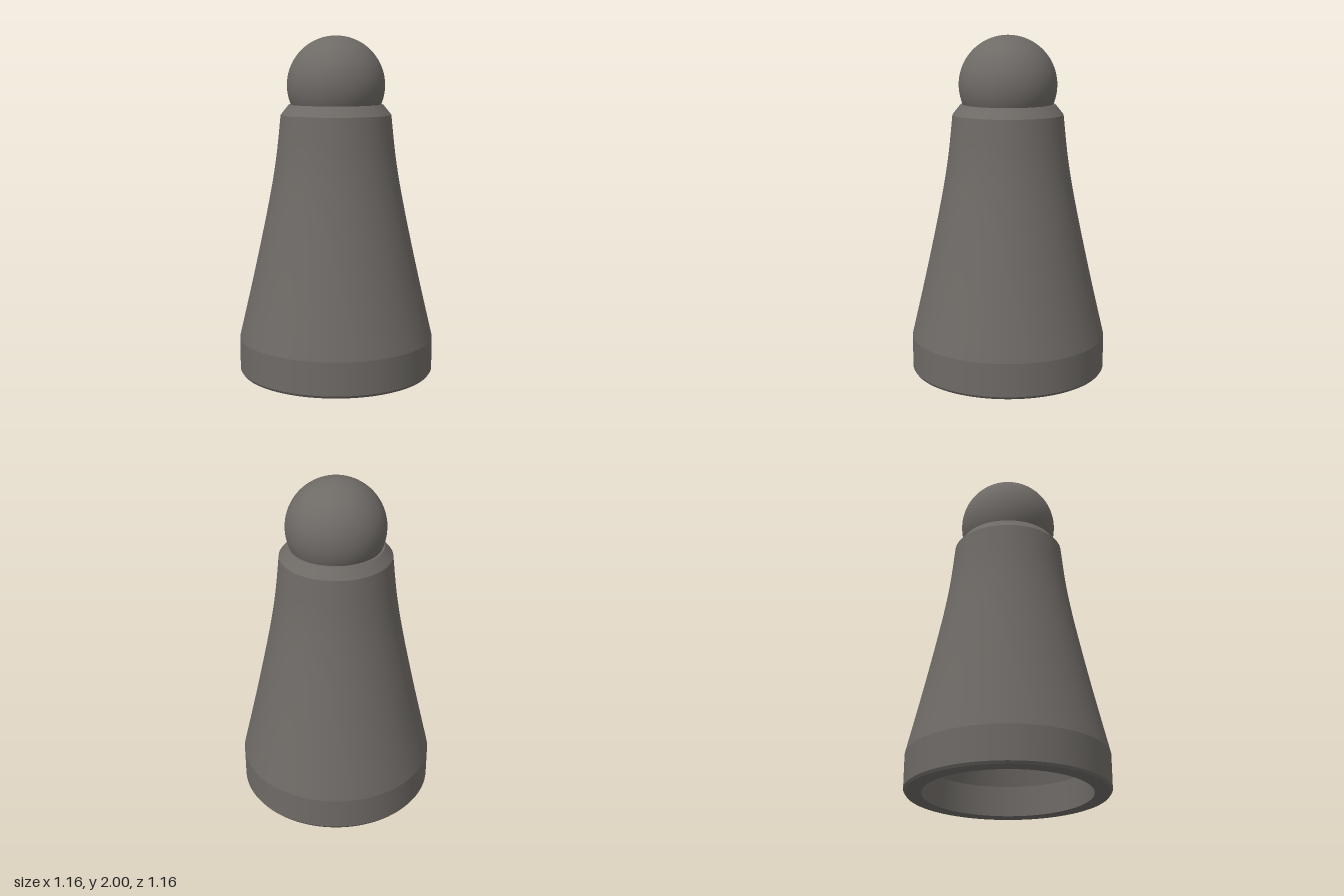
import * as THREE from 'three';

export function createModel() {
  const model = new THREE.Group();
  const grey = new THREE.MeshStandardMaterial({ color: 0x6e6a66 });
  grey.name = 'warm grey';

  const point = ([r, y]) => new THREE.Vector2(r, y);

  // Each band is its own lathe, so the edges between bands stay sharp.
  // Profiles run up the outside and down the inside.
  function band(name, points) {
    const mesh = new THREE.Mesh(new THREE.LatheGeometry(points.map(point), 96), grey);
    mesh.name = name;
    model.add(mesh);
  }
  const curve = (points) =>
    new THREE.SplineCurve(points.map(point)).getPoints(24).map((p) => [p.x, p.y]);

  // Outer shell: foot, flared body, shoulder chamfer and collar top
  const flare = [[0.58, 0.21], [0.485, 0.62], [0.4, 1.02], [0.355, 1.28], [0.326, 1.54]];
  band('footBevel', [[0.57, 0], [0.58, 0.015]]);
  band('footWall', [[0.58, 0.015], [0.58, 0.21]]);
  band('body', curve(flare));
  band('shoulder', [[0.326, 1.54], [0.278, 1.6]]);
  band('collarTop', [[0.278, 1.6], [0.2, 1.6]]);

  // Hollow inside, following the outer wall
  const inner = flare.map(([r, y]) => [r - 0.1, y - 0.03]).reverse();
  band('cavityCeiling', [[0, 1.51], [0.226, 1.51]]);
  band('cavityBody', curve(inner));
  band('cavityFoot', [[0.48, 0.18], [0.48, 0]]);
  band('footRim', [[0.48, 0], [0.57, 0]]);

  // Ball set into the collar
  const ball = new THREE.Mesh(new THREE.SphereGeometry(0.288, 64, 40), grey);
  ball.name = 'ball';
  ball.position.y = 1.712;
  model.add(ball);

  return model;
}
